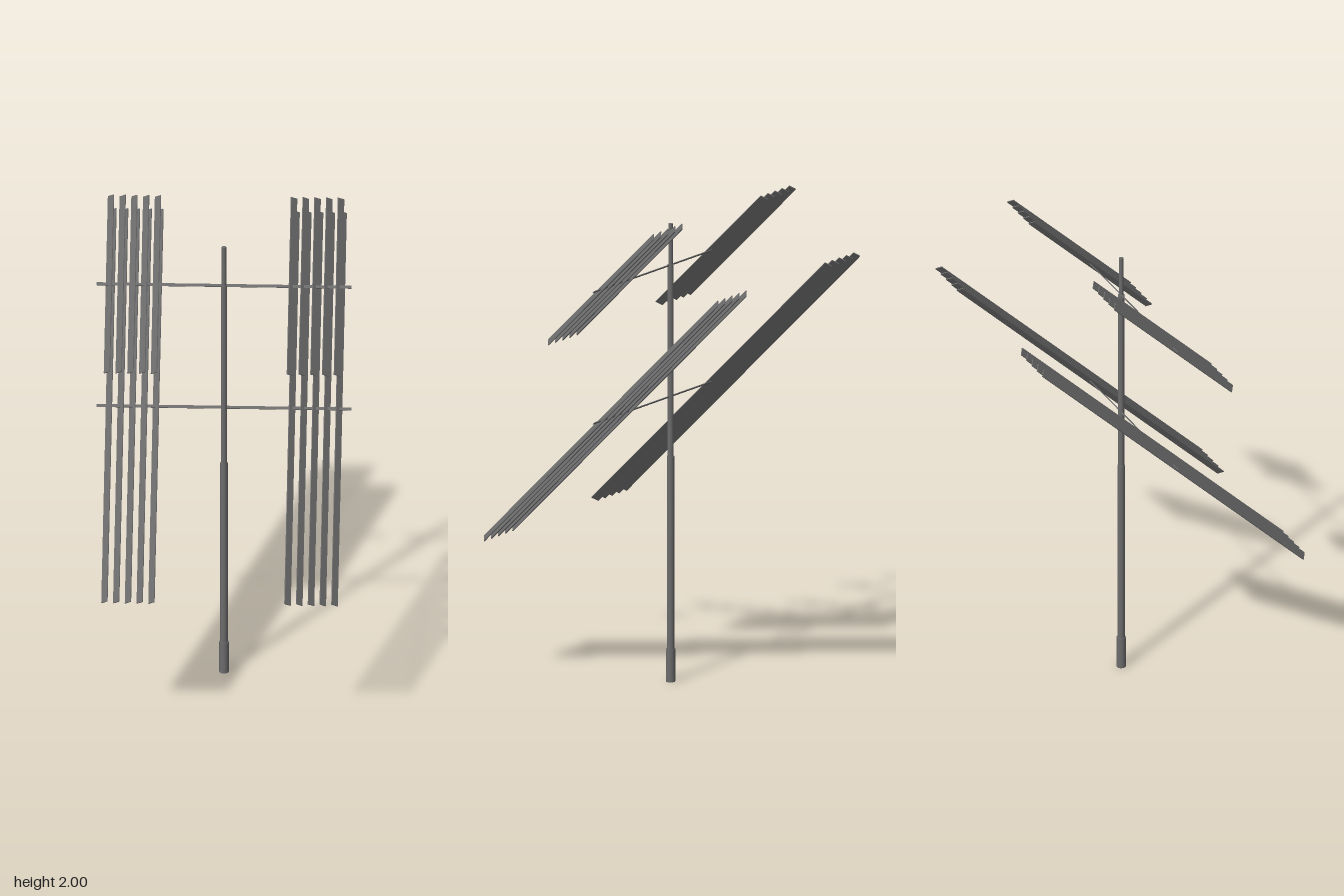
import * as THREE from 'three';

export function createModel() {
  const model = new THREE.Group();
  model.name = 'slattedMast';
  const metal = new THREE.MeshStandardMaterial({ color: 0x6c6c6c });
  metal.name = 'grey metal';

  const add = (parent, name, geometry) => {
    const mesh = new THREE.Mesh(geometry, metal);
    mesh.name = name;
    parent.add(mesh);
    return mesh;
  };

  // Stepped mast: name, radius, bottom, top
  const sections = [
    ['mastBase', 0.019, 0, 0.135],
    ['mastLower', 0.015, 0.135, 0.935],
    ['mastMiddle', 0.0125, 0.935, 1.73],
    ['mastTop', 0.009, 1.73, 1.9],
  ];
  for (const [name, r, y0, y1] of sections) {
    add(model, name, new THREE.CylinderGeometry(r, r, y1 - y0, 16)).position.y = (y0 + y1) / 2;
  }

  // Tilted rack: a flat crossbar carrying five angled slats on each side
  function addRack(name, y, slatLength) {
    const rack = new THREE.Group();
    rack.name = name;
    rack.position.y = y;
    rack.rotation.x = -Math.PI / 4;
    model.add(rack);

    add(rack, 'crossbar', new THREE.BoxGeometry(1.02, 0.012, 0.003));

    const slat = new THREE.BoxGeometry(0.033, slatLength, 0.004);
    for (const side of [-1, 1]) {
      for (let i = 0; i < 5; i++) {
        const mesh = add(rack, side > 0 ? 'leftSlat' : 'rightSlat', slat);
        mesh.position.x = side * (0.272 + i * 0.047);
        mesh.rotation.y = side * Math.PI / 4;
      }
    }
  }
  addRack('lowerRack', 1.183, 1.655);
  addRack('upperRack', 1.728, 0.745);

  return model;
}
